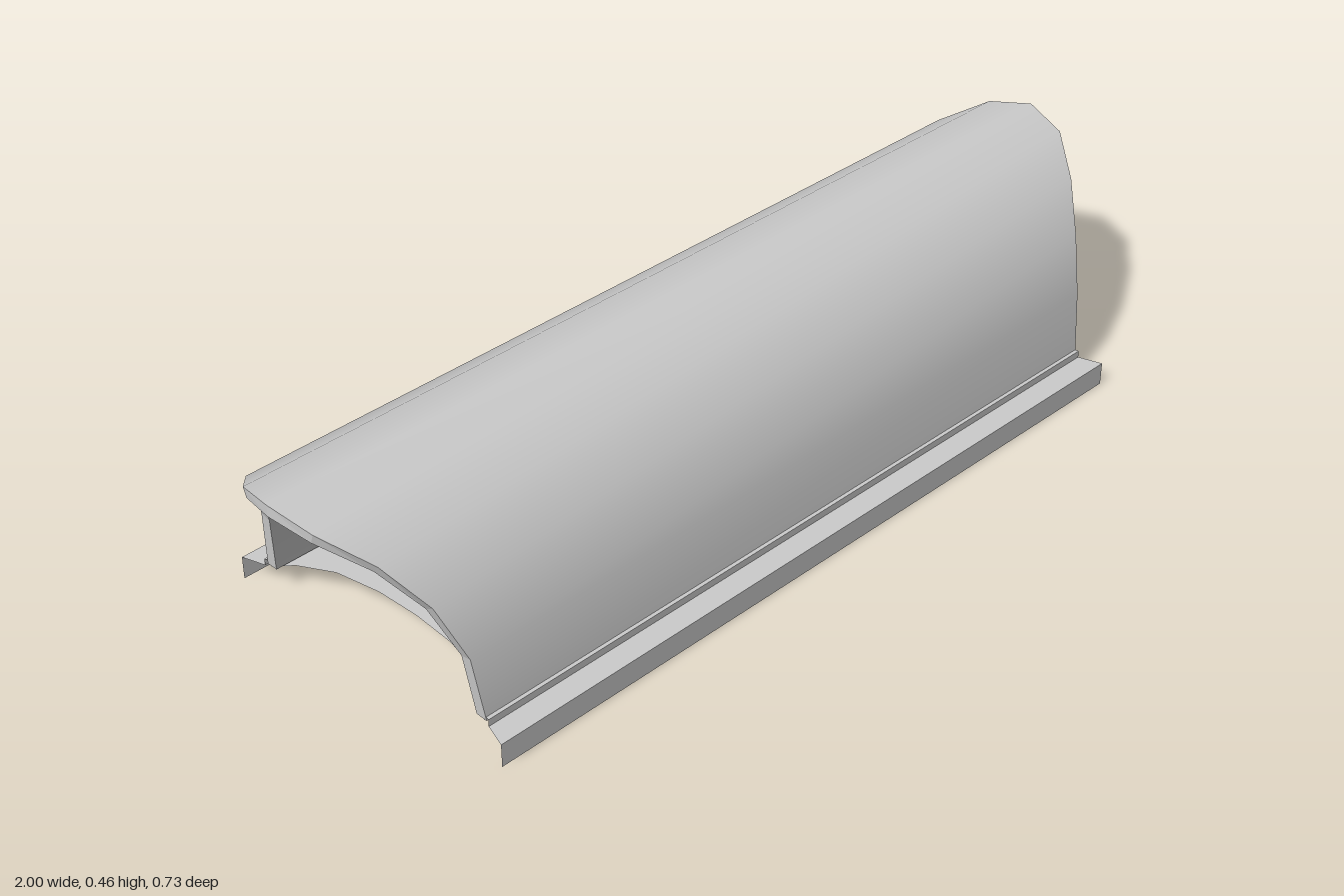
import * as THREE from 'three';

const smooth = new THREE.MeshStandardMaterial({ color: 0xcccccc, side: THREE.DoubleSide });
const flat = new THREE.MeshStandardMaterial({ color: 0xcccccc, side: THREE.DoubleSide, flatShading: true });

// Strip of quads between two polylines of equal length
function sheet(name, a, b, material) {
  const index = [];
  const n = a.length;
  for (let i = 0; i < n - 1; i++) index.push(i, n + i, n + i + 1, i, n + i + 1, i + 1);
  const geometry = new THREE.BufferGeometry();
  geometry.setAttribute('position', new THREE.Float32BufferAttribute([...a, ...b].flat(), 3));
  geometry.setIndex(index);
  geometry.computeVertexNormals();
  const mesh = new THREE.Mesh(geometry, material);
  mesh.name = name;
  return mesh;
}

// Profile points are [z, y, half length]; place them at one end
const atEnd = (profile, side) => profile.map(([z, y, x]) => [side * x, y, z]);

// Complete a half profile (foot to crown) with its mirror image in z
const mirrorZ = (half) => [...half, ...half.slice(0, -1).reverse().map(([z, y, x]) => [-z, y, x])];

export function createModel() {
  const model = new THREE.Group();
  model.name = 'vaultedCanopy';

  // Barrel vault whose ends flare outwards towards the crown
  const outer = mirrorZ([[0.308, 0.057, 0.81], [0.29, 0.19, 0.823], [0.246, 0.296, 0.86],
    [0.18, 0.379, 0.917], [0.095, 0.433, 0.98], [0, 0.455, 1]]);
  const inner = mirrorZ([[0.282, 0.057, 0.81], [0.267, 0.186, 0.823], [0.227, 0.285, 0.86],
    [0.168, 0.363, 0.917], [0.088, 0.413, 0.98], [0, 0.431, 1]]);
  const vault = new THREE.Group();
  vault.name = 'vault';
  vault.add(
    sheet('vaultOuter', atEnd(outer, -1), atEnd(outer, 1), smooth),
    sheet('vaultInner', atEnd(inner, 1), atEnd(inner, -1), smooth),
    sheet('leftRim', atEnd(outer, 1), atEnd(inner, 1), flat),
    sheet('rightRim', atEnd(inner, -1), atEnd(outer, -1), flat),
  );
  for (const end of [0, outer.length - 1]) {
    const foot = end === 0 ? [inner[end], outer[end]] : [outer[end], inner[end]];
    vault.add(sheet('vaultFoot', atEnd(foot, -1), atEnd(foot, 1), flat));
  }
  model.add(vault);

  // Stepped open rail along each foot
  const rail = [[0.365, 0, 0.828], [0.365, 0.05, 0.828], [0.315, 0.05, 0.812],
    [0.315, 0.065, 0.812], [0.3, 0.065, 0.808]];
  for (const turn of [0, Math.PI]) {
    const mesh = sheet(turn ? 'backRail' : 'frontRail', atEnd(rail, -1), atEnd(rail, 1), flat);
    mesh.rotation.y = turn;
    model.add(mesh);
  }

  // Floor with ends curved inwards
  const floorY = 0.0535;
  const floor = mirrorZ([[0.3, floorY, 0.81], [0.27, floorY, 0.775], [0.2, floorY, 0.735],
    [0.1, floorY, 0.715], [0, floorY, 0.71]]);
  model.add(sheet('floor', atEnd(floor, -1), atEnd(floor, 1), flat));

  // Grid of panels under the floor
  const panelGeometry = new THREE.BoxGeometry(0.265, 0.01, 0.17);
  const panels = new THREE.Group();
  panels.name = 'floorPanels';
  for (let column = -2; column <= 2; column++) {
    for (let row = -1; row <= 1; row++) {
      const panel = new THREE.Mesh(panelGeometry, flat);
      panel.name = 'floorPanel';
      panel.position.set(column * 0.28, 0.048, row * 0.185);
      panels.add(panel);
    }
  }
  model.add(panels);
  return model;
}
